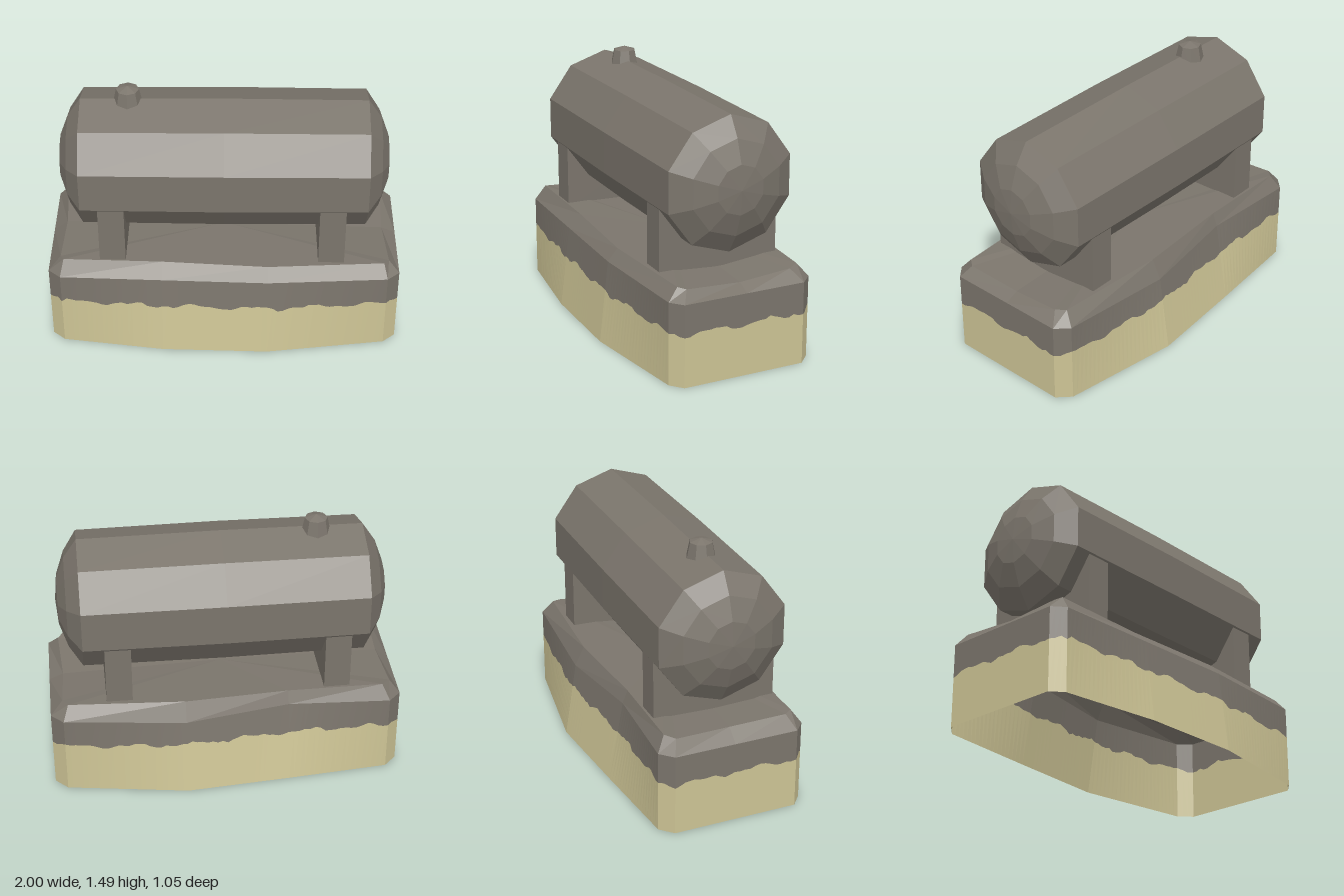
import * as THREE from 'three';

const metal = new THREE.MeshStandardMaterial({ name: 'weathered grey', color: 0x7b756c, flatShading: true, side: THREE.DoubleSide });
const sand = new THREE.MeshStandardMaterial({ name: 'sand', color: 0xcdc495, flatShading: true, side: THREE.DoubleSide });

// Plinth outline as [x, z], anticlockwise from above, at three heights
const foot = [[-.93, .43], [-.35, .51], [.25, .525], [.93, .43], [1, .37], [1, 0], [1, -.35],
  [.93, -.42], [.24, -.525], [-.35, -.475], [-.93, -.42], [-1, -.35], [-1, 0], [-1, .37]];
const shoulder = foot.map(([x, z]) => [x, .475, z]);
shoulder[1][2] = .45;
shoulder[2][2] = .47;
shoulder[8] = [.24, .44, -.455];
shoulder[9][2] = -.39;
const rim = [[-.91, .56, .37], [-.35, .55, .375], [.25, .545, .41], [.91, .545, .37], [.94, .535, .33],
  [.92, .51, 0], [.93, .54, -.3], [.9, .55, -.36], [.24, .55, -.4], [-.35, .55, -.36],
  [-.89, .56, -.37], [-.94, .55, -.32], [-.92, .54, 0], [-.93, .55, .33]];

function mesh(name, geometry, material) {
  const m = new THREE.Mesh(geometry, material);
  m.name = name;
  return m;
}

// Closed band of faces between two rings of points
function band(lower, upper) {
  const pos = [];
  lower.forEach((a, i) => {
    const j = (i + 1) % lower.length;
    const b = lower[j], c = upper[j], d = upper[i];
    pos.push(...a, ...b, ...c, ...a, ...c, ...d);
  });
  const g = new THREE.BufferGeometry();
  g.setAttribute('position', new THREE.Float32BufferAttribute(pos, 3));
  g.computeVertexNormals();
  return g;
}

const mix = (a, b, t) => a.map((v, k) => v + (b[k] - v) * t);

export function createModel() {
  const model = new THREE.Group();
  model.name = 'tank on plinth';

  // Finely divided walls, split along a ragged sand line
  const low = [], mid = [], high = [];
  let seed = 7;
  const noise = () => (seed = (seed * 16807) % 2147483647) / 2147483647 - .5;
  foot.forEach(([x, z], i) => {
    const j = (i + 1) % foot.length;
    const a = [x, 0, z], b = [foot[j][0], 0, foot[j][1]];
    const n = Math.max(2, Math.round(Math.hypot(b[0] - a[0], b[2] - a[2]) / .03));
    for (let k = 0; k < n; k++) {
      const p = mix(a, b, k / n), q = mix(shoulder[i], shoulder[j], k / n);
      const s = low.length;
      const y = .3 + .012 * Math.sin(s * .55) + .006 * Math.sin(s * 1.3) + .012 * noise();
      low.push(p);
      high.push(q);
      mid.push(mix(p, q, y / q[1]));
    }
  });

  const plinth = new THREE.Group();
  plinth.name = 'plinth';
  plinth.add(
    mesh('sandy lower wall', band(low, mid), sand),
    mesh('upper wall', band(mid, high), metal),
    mesh('bevel', band(shoulder, rim), metal),
    mesh('plinth top', band(rim, rim.map(() => [0, .54, 0])), metal));
  model.add(plinth);

  // Ten-sided tank with domed ends
  const half = [[0, .935], [.14, .922], [.27, .875], [.383, .8]];
  const profile = [
    ...half.map(([r, y]) => new THREE.Vector2(r, -y)),
    new THREE.Vector2(.389, 0),
    ...half.slice().reverse().map(([r, y]) => new THREE.Vector2(r, y))];
  const tank = mesh('tank', new THREE.LatheGeometry(profile, 10, Math.PI / 2), metal);
  tank.rotation.z = -Math.PI / 2;
  tank.position.set(0, 1.027, .004);
  model.add(tank);

  // Two saddle supports across the plinth
  for (const [name, x] of [['right saddle', -.63], ['left saddle', .608]]) {
    const saddle = mesh(name, new THREE.BoxGeometry(.147, .38, .715), metal);
    saddle.position.set(x, .71, .006);
    model.add(saddle);
  }

  // Filler cap with a shallow pointed lid
  const capProfile = [[.085, 1.37], [.064, 1.47], [0, 1.49]].map(p => new THREE.Vector2(...p));
  const cap = mesh('filler cap', new THREE.LatheGeometry(capProfile, 8), metal);
  cap.position.set(-.535, 0, -.005);
  model.add(cap);

  return model;
}
